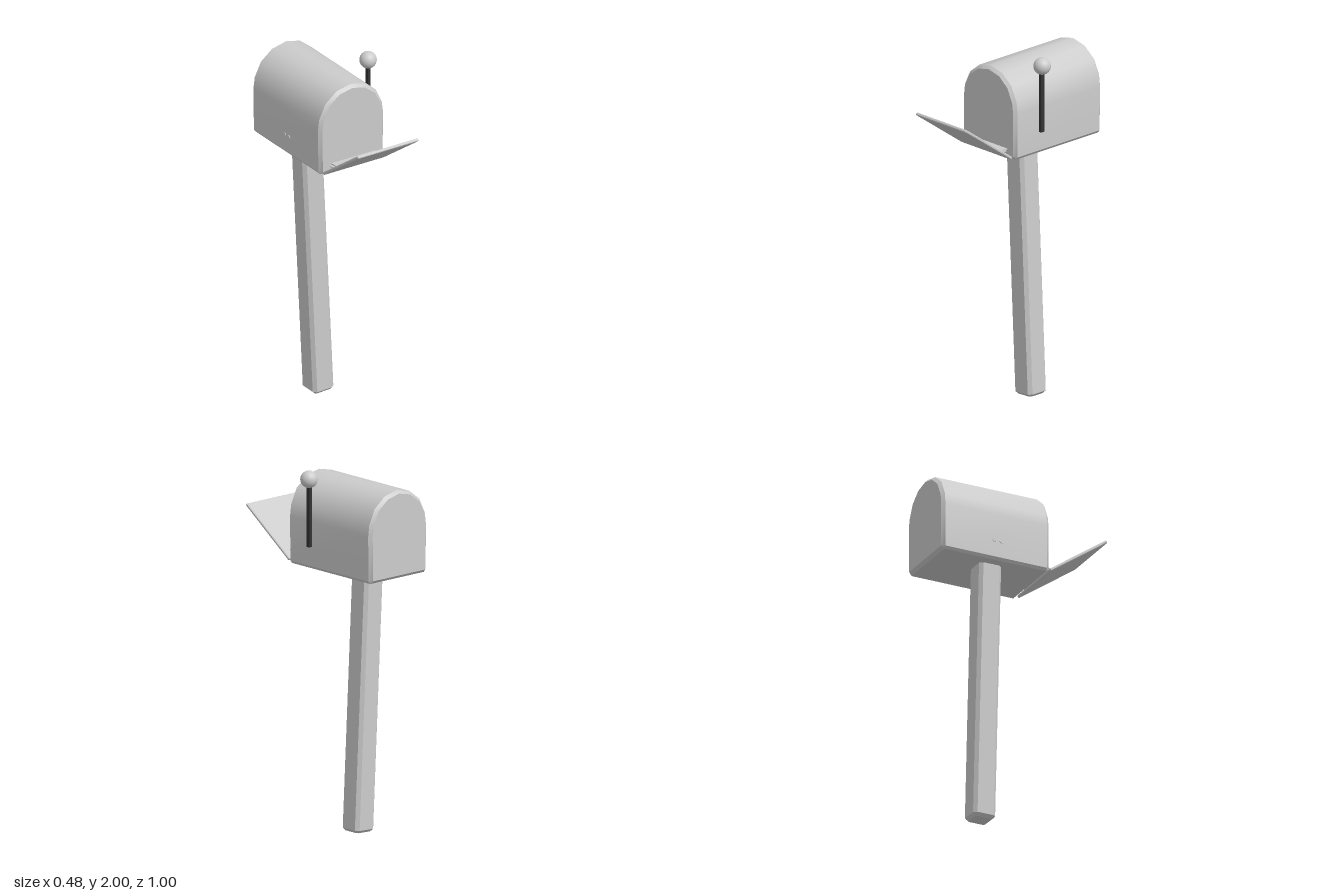
import * as THREE from 'three';
import { toCreasedNormals } from 'three/addons/utils/BufferGeometryUtils.js';

const grey = new THREE.MeshStandardMaterial({ color: 0xcccccc });
grey.name = 'pale grey';
const dark = new THREE.MeshStandardMaterial({ color: 0x333333 });
dark.name = 'dark grey';

function part(name, geometry, material = grey) {
  const mesh = new THREE.Mesh(geometry, material);
  mesh.name = name;
  return mesh;
}

// Extrusion from z = 0 to z = length whose outline stays at the given points, with chamfered ends
function chamferedPrism(points, length, chamfer) {
  const shape = new THREE.Shape(points.map(([x, y]) => new THREE.Vector2(x, y)));
  const geometry = new THREE.ExtrudeGeometry(shape, {
    depth: length - 2 * chamfer, bevelEnabled: true, bevelSegments: 1,
    bevelThickness: chamfer, bevelSize: chamfer, bevelOffset: -chamfer,
  });
  return geometry.translate(0, 0, chamfer);
}

// Rectangle outline with cut corners
function cutRectangle(w, h, c) {
  const x = w / 2, y = h / 2;
  return [[x - c, -y], [x, -y + c], [x, y - c], [x - c, y],
    [-x + c, y], [-x, y - c], [-x, -y + c], [-x + c, -y]];
}

export function createModel() {
  const model = new THREE.Group();
  model.name = 'mailbox';

  // Leaning wooden post with chamfered edges
  const post = part('post', toCreasedNormals(
    chamferedPrism(cutRectangle(0.132, 0.132, 0.018), 1.47, 0.016).rotateX(-Math.PI / 2), 0.4));
  post.position.set(-0.034, 0.004, -0.17);
  post.rotation.z = 0.049;
  model.add(post);

  // Box body: straight walls under a faceted arch
  const outline = [[-0.193, 1.455], [0.193, 1.455], [0.205, 1.47], [0.208, 1.715]];
  for (let i = 0; i < 7; i++) {
    const a = Math.PI * (i + 0.5) / 7;
    outline.push([0.205 * Math.cos(a), 1.735 + 0.205 * Math.sin(a)]);
  }
  outline.push([-0.208, 1.715], [-0.205, 1.47]);
  const bodyGeometry = chamferedPrism(outline, 0.645, 0.017).translate(-0.03, 0, -0.498);
  // Skew the body slightly along its length
  const p = bodyGeometry.attributes.position;
  for (let i = 0; i < p.count; i++) p.setX(i, p.getX(i) + 0.012 * (p.getZ(i) + 0.17));
  model.add(part('body', toCreasedNormals(bodyGeometry, 0.5)));

  // Open door, hinged at the lower front edge
  const door = part('door', toCreasedNormals(
    chamferedPrism(cutRectangle(0.388, 0.016, 0.004), 0.416, 0.004), 0.3));
  door.position.set(-0.027, 1.468, 0.156);
  door.rotation.x = -0.615;
  model.add(door);

  // Letters sticking out of the front
  [[-0.02, 1.508, 0.15, 0.03], [-0.025, 1.495, 0.13, -0.07]].forEach(([x, y, z, turn], i) => {
    const letter = part('letter' + (i + 1), new THREE.BoxGeometry(0.28, 0.006, 0.1));
    letter.position.set(x, y, z);
    letter.rotation.y = turn;
    model.add(letter);
  });

  // Flag rod with a ball on top
  const rod = part('flagRod', new THREE.BoxGeometry(0.016, 0.024, 0.37), dark);
  rod.geometry.rotateX(Math.PI / 2).scale(1, 1, 1);
  rod.geometry = new THREE.BoxGeometry(0.018, 0.37, 0.024);
  rod.position.set(0.194, 1.765, -0.034);
  model.add(rod);
  const ball = part('flagBall', new THREE.SphereGeometry(0.047, 24, 16));
  ball.position.set(0.196, 1.953, -0.036);
  model.add(ball);

  // Two small dents on the plain side
  [[1.565, -0.185], [1.565, -0.145]].forEach(([y, z], i) => {
    const dent = part('dent' + (i + 1), new THREE.CylinderGeometry(0.012, 0.012, 0.006, 6));
    dent.rotation.z = Math.PI / 2;
    dent.position.set(-0.237, y, z);
    model.add(dent);
  });

  return model;
}
